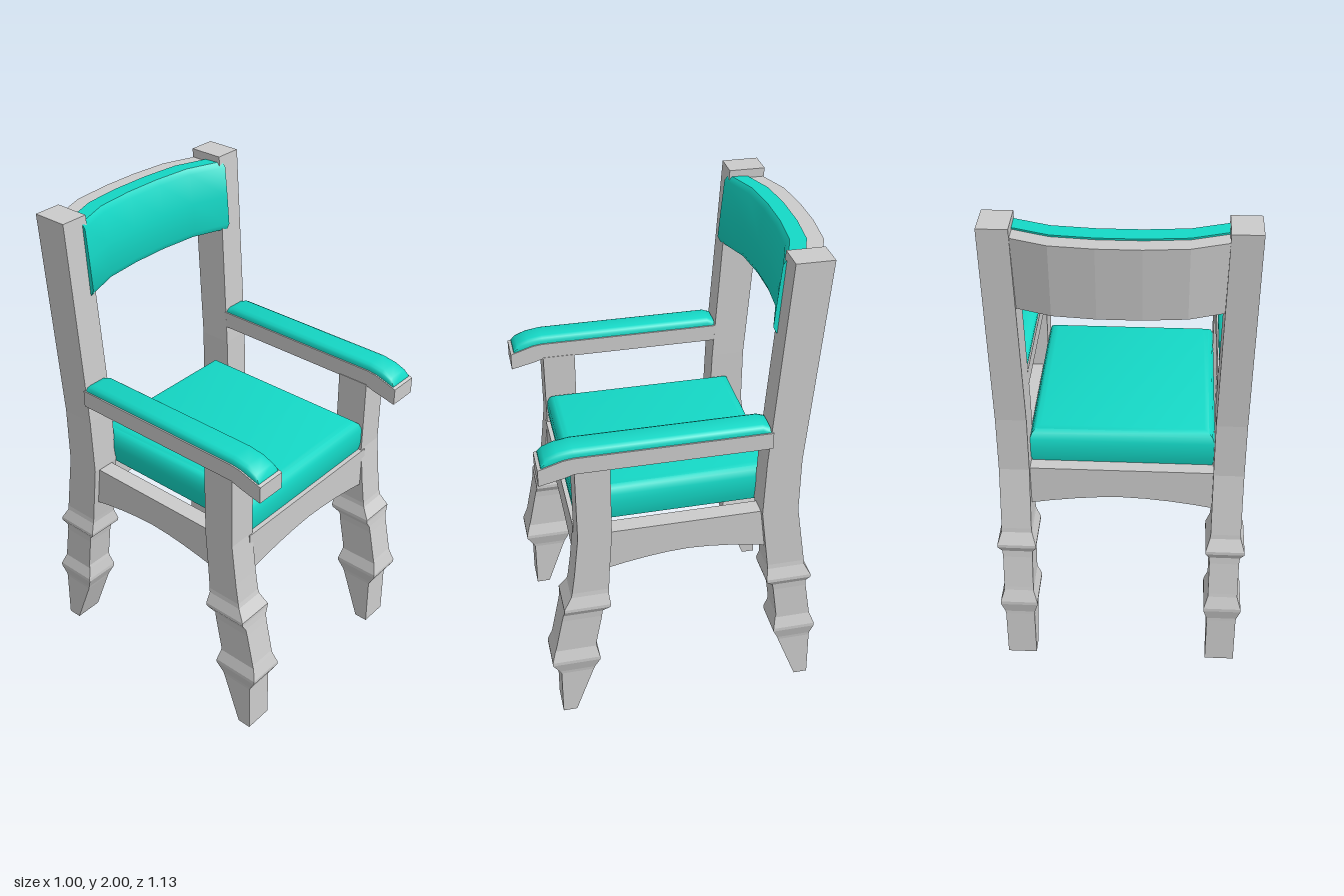
import * as THREE from 'three';
import { toCreasedNormals } from 'three/addons/utils/BufferGeometryUtils.js';

const wood = new THREE.MeshStandardMaterial({ color: 0xcccccc, flatShading: true });
const fabric = new THREE.MeshStandardMaterial({ color: 0x14d8c6 });

// Skin a list of equal rings (counter-clockwise about the travel direction), capping both ends
function loft(rings, crease = 0) {
  const n = rings[0].length;
  const index = [];
  for (let r = 0; r < rings.length - 1; r++) {
    for (let i = 0; i < n; i++) {
      const a = r * n + i, b = r * n + (i + 1) % n;
      index.push(a, b, b + n, a, b + n, a + n);
    }
  }
  const last = (rings.length - 1) * n;
  for (let i = 1; i < n - 1; i++) {
    index.push(0, i + 1, i, last, last + i, last + i + 1);
  }
  const g = new THREE.BufferGeometry();
  g.setAttribute('position', new THREE.Float32BufferAttribute(rings.flat(2), 3));
  g.setIndex(index);
  return toCreasedNormals(g, crease);
}

// Horizontal rectangle at height y
const rect = (y, x0, x1, z0, z1) => [[x0, y, z1], [x1, y, z1], [x1, y, z0], [x0, y, z0]];

// Leg stations: height, front z, back z, half width, centre x
const FRONT_LEG = [
  [0, 0.527, 0.469, 0.06], [0.22, 0.525, 0.39, 0.06], [0.235, 0.532, 0.385, 0.062],
  [0.285, 0.56, 0.363, 0.076], [0.3, 0.56, 0.363, 0.076], [0.35, 0.545, 0.374, 0.06],
  [0.365, 0.54, 0.375, 0.06], [0.51, 0.51, 0.347, 0.06], [0.54, 0.504, 0.345, 0.062],
  [0.568, 0.5, 0.315, 0.078], [0.582, 0.5, 0.312, 0.078], [0.63, 0.468, 0.317, 0.062],
  [0.65, 0.463, 0.315, 0.06], [0.74, 0.45, 0.31, 0.06], [0.92, 0.43, 0.297, 0.06],
  [1.24, 0.43, 0.295, 0.06],
];
const BACK_LEG = [
  [0, -0.495, -0.553, 0.06], [0.22, -0.41, -0.548, 0.06], [0.235, -0.405, -0.548, 0.062],
  [0.285, -0.382, -0.56, 0.076], [0.3, -0.382, -0.56, 0.076], [0.35, -0.39, -0.54, 0.06],
  [0.365, -0.393, -0.537, 0.06], [0.51, -0.373, -0.513, 0.06], [0.54, -0.367, -0.51, 0.062],
  [0.568, -0.338, -0.523, 0.078], [0.582, -0.336, -0.523, 0.078], [0.63, -0.342, -0.497, 0.062],
  [0.65, -0.34, -0.495, 0.06], [0.92, -0.306, -0.453, 0.06], [1.16, -0.313, -0.453, 0.06],
  [2, -0.368, -0.513, 0.056, 0.43],
];
const legGeometry = (stations, side) => loft(stations.map(([y, zf, zb, w, cx = 0.42]) =>
  rect(y, side * cx - w, side * cx + w, zb, zf)));

// Board with an arched lower edge, lying in the xy plane and centred on z
function apronGeometry(halfLength, thickness) {
  const s = new THREE.Shape();
  s.moveTo(-halfLength, 0.915);
  for (let i = 0; i <= 8; i++) {
    const t = i / 4 - 1;
    s.lineTo(t * halfLength, 0.78 - 0.045 * Math.pow(Math.abs(t), 1.7));
  }
  s.lineTo(halfLength, 0.915);
  return new THREE.ExtrudeGeometry(s, { depth: thickness, bevelEnabled: false })
    .translate(0, 0, -thickness / 2);
}

// Bowed panel: sweep a [y, z] section across the chair, pushed back towards the middle
const BOW = [[-0.395, 0], [-0.24, -0.055], [-0.08, -0.07], [0.08, -0.07], [0.24, -0.055], [0.395, 0]];
const bowed = (section, crease) => loft(
  BOW.map(([x, dz]) => section.map(([y, z]) => [x, y, z + dz])), crease);

export function createModel() {
  const chair = new THREE.Group();
  chair.name = 'armchair';
  const add = (name, geometry, material = wood) => {
    const mesh = new THREE.Mesh(geometry, material);
    mesh.name = name;
    chair.add(mesh);
    return mesh;
  };

  for (const side of [1, -1]) {
    const label = side > 0 ? 'left' : 'right';
    add(label + 'FrontLeg', legGeometry(FRONT_LEG, side));
    add(label + 'BackLegAndPost', legGeometry(BACK_LEG, side));

    const apron = add(label + 'SideApron', apronGeometry(0.335, 0.07));
    apron.rotation.y = Math.PI / 2;
    apron.position.set(side * 0.42, 0, -0.012);

    // Armrest rail with a drooping front end
    const cx = side * 0.424;
    add(label + 'Armrest', loft([[-0.33, 1.235, 1.305], [0.43, 1.235, 1.305], [0.47, 1.222, 1.3],
      [0.565, 1.2, 1.27]].map(([z, y0, y1]) => [
      [cx - 0.062, y0, z], [cx + 0.062, y0, z], [cx + 0.062, y1, z], [cx - 0.062, y1, z]])));

    // Padding following the rail: z, drop, thickness
    add(label + 'ArmPad', loft([[-0.32, 0, 0.022], [-0.29, 0, 0.035], [0.43, 0, 0.035],
      [0.49, -0.009, 0.034], [0.535, -0.022, 0.028], [0.552, -0.027, 0.01]].map(([z, d, h]) => {
      const y = 1.3 + d;
      return [[-0.056, 0], [0.056, 0], [0.056, 0.5], [0.05, 0.8], [0.036, 1],
        [-0.036, 1], [-0.05, 0.8], [-0.056, 0.5]].map(([x, k]) => [cx + x, y + k * h, z]);
    }), 0.9), fabric);
  }

  add('frontApron', apronGeometry(0.38, 0.07)).position.z = 0.4;
  add('backApron', apronGeometry(0.38, 0.07)).position.z = -0.4;

  // Seat cushion: height and inset of each layer
  add('seatCushion', loft([[0.905, 0.012], [0.94, 0.003], [0.98, 0], [1.02, 0.002], [1.045, 0.012],
    [1.058, 0.026], [1.063, 0.045]].map(([y, d]) =>
    rect(y, -0.365 + d, 0.365 - d, -0.39 + d, 0.425 - d)), 0.9), fabric);

  // Curved backrest board and its padding
  add('backrestBoard', bowed([[1.965, -0.5], [1.965, -0.43], [1.67, -0.395], [1.67, -0.465]], 0));
  add('backrestPad', bowed([[1.972, -0.435], [1.975, -0.37], [1.955, -0.353], [1.83, -0.341],
    [1.71, -0.331], [1.685, -0.343], [1.675, -0.395]], 0.9), fabric);

  return chair;
}
